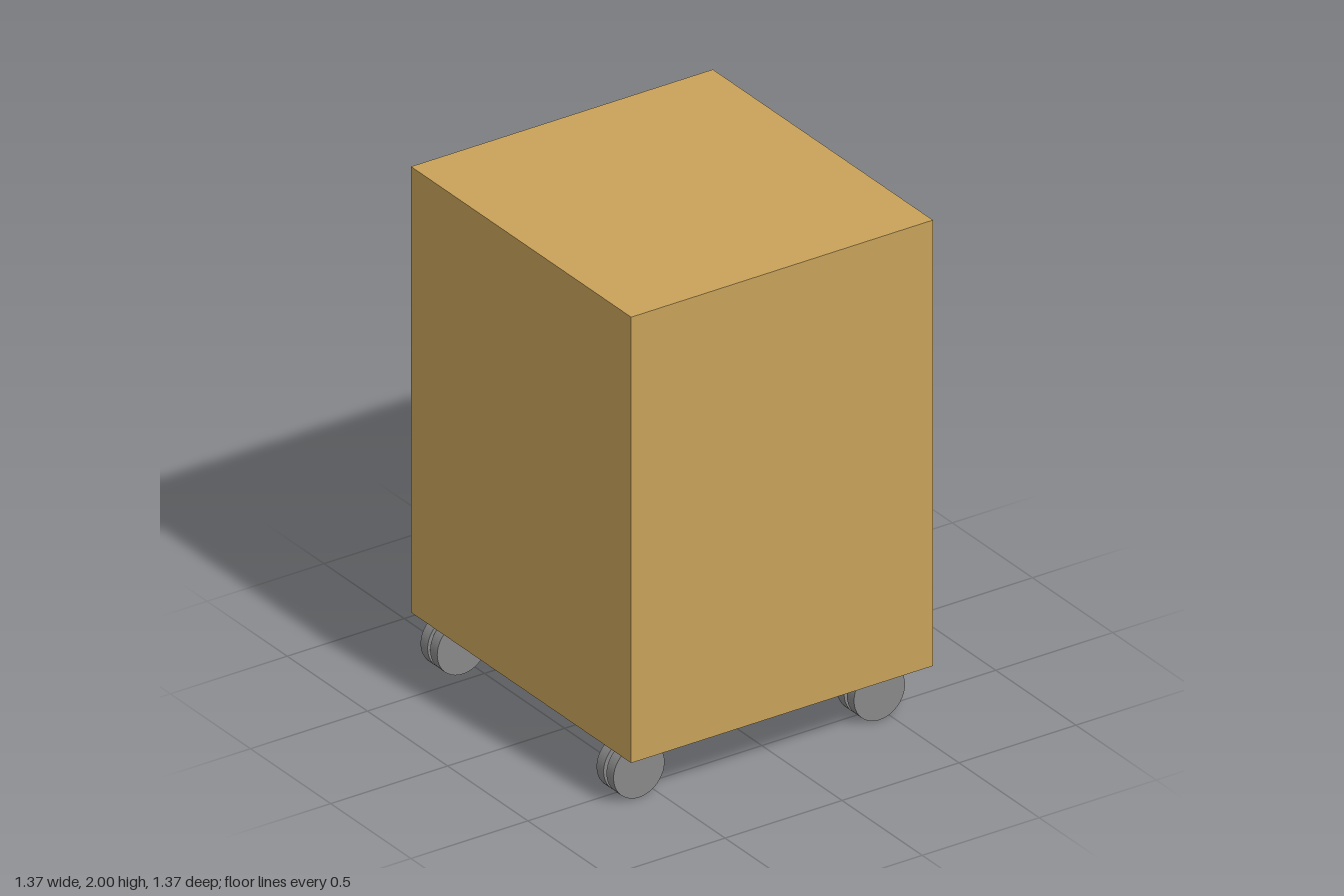
import * as THREE from 'three';

const wood = new THREE.MeshStandardMaterial({ name: 'wood', color: 0xc8a259 });
const wheelGrey = new THREE.MeshStandardMaterial({ name: 'wheelGrey', color: 0x888888 });
const handleGrey = new THREE.MeshStandardMaterial({ name: 'handleGrey', color: 0x505256 });

const FACE_X = 0.604; // drawer face

// U-shaped pull: a tapered section [inset, height] swept round two mitred corners
function handleGeometry(half, reach = 0.684, height = 0.026) {
  const section = [[0, 0], [0.011, height], [0.02, height], [0.026, 0]];
  const point = (i, j) => {
    const [inset, y] = section[j % section.length];
    const x = i === 0 || i === 3 ? FACE_X - 0.002 : reach - inset;
    return [x, y, (i < 2 ? 1 : -1) * (half - inset)];
  };
  const positions = [];
  for (let i = 0; i < 3; i++) {
    for (let j = 0; j < section.length; j++) {
      const a = point(i, j), b = point(i + 1, j), c = point(i + 1, j + 1), d = point(i, j + 1);
      positions.push(...a, ...b, ...c, ...a, ...c, ...d);
    }
  }
  const geometry = new THREE.BufferGeometry();
  geometry.setAttribute('position', new THREE.Float32BufferAttribute(positions, 3));
  geometry.computeVertexNormals();
  return geometry;
}

// Twin-wheel caster
function caster(x, zs) {
  const group = new THREE.Group();
  group.name = 'caster';
  for (const z of zs) {
    const wheel = new THREE.Mesh(new THREE.CylinderGeometry(0.109, 0.109, 0.044, 40), wheelGrey);
    wheel.name = 'wheel';
    wheel.rotation.x = Math.PI / 2;
    wheel.position.set(x, 0.111, z);
    group.add(wheel);
  }
  return group;
}

export function createModel() {
  const model = new THREE.Group();
  model.name = 'rollingDrawerCabinet';

  // Cabinet body
  const body = new THREE.Mesh(new THREE.BoxGeometry(1.29, 1.78, 1.372), wood);
  body.name = 'cabinetBody';
  body.position.set(FACE_X - 0.645, 1.11, 0);
  model.add(body);

  // Three drawer handles: base height, half length
  for (const [y, half] of [[1.816, 0.158], [1.073, 0.125], [0.575, 0.142]]) {
    const handle = new THREE.Mesh(handleGeometry(half), handleGrey);
    handle.name = 'drawerHandle';
    handle.position.y = y;
    model.add(handle);
  }

  // Four casters, the rear pair set slightly further along x
  for (const x of [-0.577, 0.451]) {
    model.add(caster(x, [0.554, 0.492]));
    model.add(caster(x + 0.011, [-0.561, -0.621]));
  }
  return model;
}
